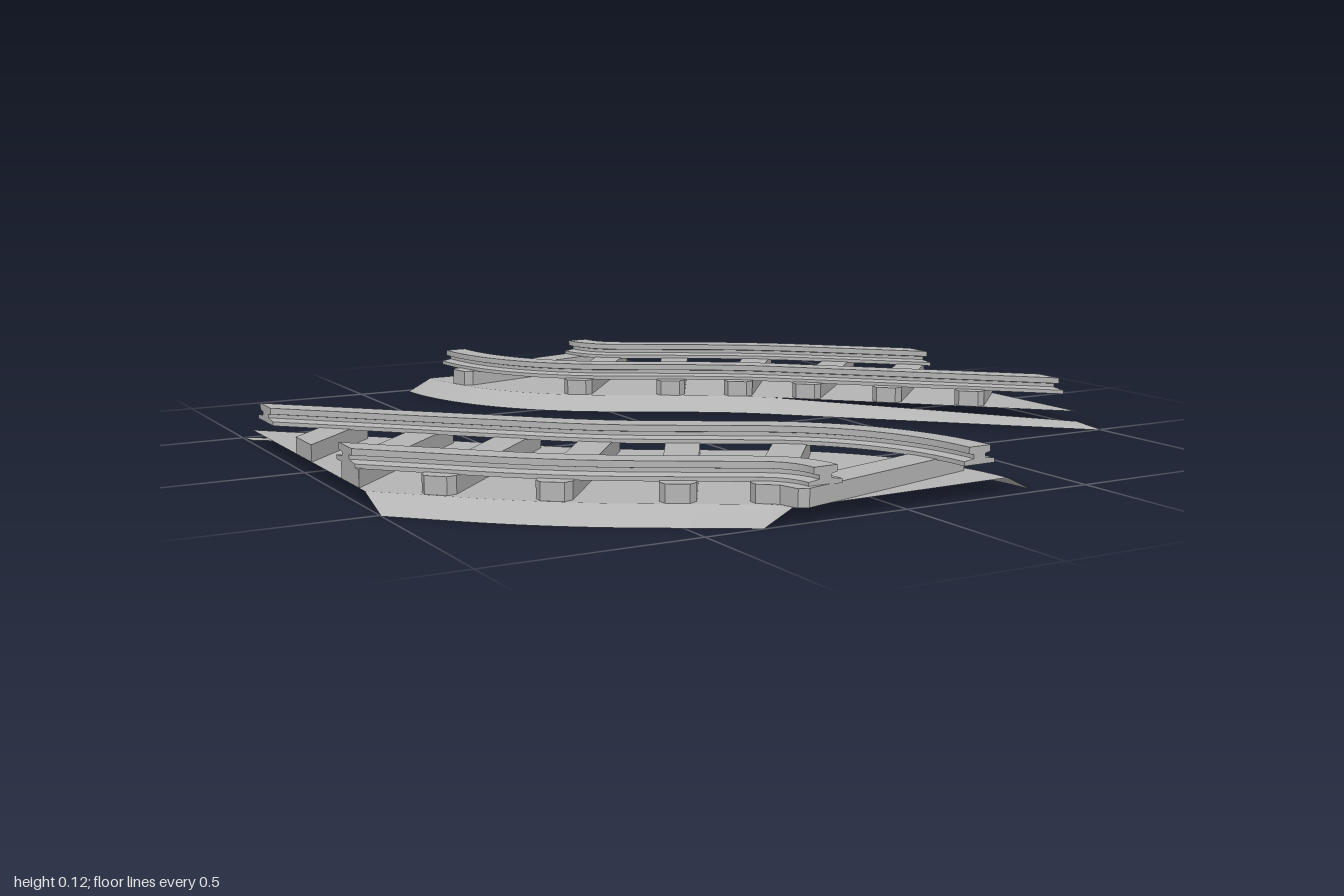
import * as THREE from 'three';
import { toCreasedNormals } from 'three/addons/utils/BufferGeometryUtils.js';

const DEG = Math.PI / 180;
const BED_Y = 0.035, TIE_Y = 0.076;
const grey = new THREE.MeshStandardMaterial({ color: 0xb4b4b4, side: THREE.DoubleSide });
grey.name = 'trackGrey';

// Centre line: straight, gentle bend one way, straight, tight bend the other way.
const segments = [
  { length: 0.54, turn: 0, steps: 1 },
  { length: 0.293, turn: -14 * DEG, steps: 8 },
  { length: 0.2485, turn: 0, steps: 1 },
  { length: 0.361, turn: 57.4 * DEG, steps: 18 },
];

// Position, heading and outward side vector at distance s along the centre line.
function stationAt(s) {
  let x = -1, z = 0, a = 45 * DEG;
  for (const seg of segments) {
    const l = Math.min(s, seg.length);
    if (seg.turn) {
      const r = seg.length / seg.turn, b = a + l / r;
      x += r * (Math.sin(b) - Math.sin(a));
      z += r * (Math.cos(a) - Math.cos(b));
      a = b;
    } else {
      x += l * Math.cos(a);
      z += l * Math.sin(a);
    }
    s -= l;
    if (s <= 1e-9) break;
  }
  return { x, z, tx: Math.cos(a), tz: Math.sin(a), nx: Math.sin(a), nz: -Math.cos(a) };
}

// The first station is mitred so that the track ends flush with the tile edge.
const stations = [{ ...stationAt(0), nx: 0, nz: -Math.SQRT2, isStart: true }];
let travelled = 0;
for (const seg of segments) {
  for (let i = 1; i <= seg.steps; i++) stations.push(stationAt(travelled + seg.length * i / seg.steps));
  travelled += seg.length;
}

// Sweep a cross-section of [side offset, height] points along the stations.
function sweep(profileAt, closed) {
  const pos = [], index = [], n = profileAt(stations[0]).length;
  for (const st of stations) {
    for (const [d, y] of profileAt(st)) pos.push(st.x + st.nx * d, y, st.z + st.nz * d);
  }
  for (let i = 0; i < stations.length - 1; i++) {
    for (let j = 0; j < (closed ? n : n - 1); j++) {
      const k = (j + 1) % n, a = i * n, b = a + n;
      index.push(a + j, a + k, b + k, a + j, b + k, b + j);
    }
  }
  if (closed) {
    const outline = profileAt(stations[0]).map(([d, y]) => new THREE.Vector2(d, y));
    const last = (stations.length - 1) * n;
    for (const [a, b, c] of THREE.ShapeUtils.triangulateShape(outline, [])) {
      index.push(c, b, a, last + a, last + b, last + c);
    }
  }
  const g = new THREE.BufferGeometry();
  g.setAttribute('position', new THREE.Float32BufferAttribute(pos, 3));
  g.setIndex(index);
  return toCreasedNormals(g, 25 * DEG);
}

// Keep the part of a plan polygon that lies inside the tile edge x = -1.
function clipToTile(points) {
  const out = [];
  points.forEach((p, i) => {
    const q = points[(i + 1) % points.length];
    if (p.x >= -1) out.push(p);
    if ((p.x >= -1) !== (q.x >= -1)) out.push(p.clone().lerp(q, (-1 - p.x) / (q.x - p.x)));
  });
  return out;
}

// A sleeper with chamfered ends, laid square to the centre line.
const tiePlan = [[-0.285, -0.026], [-0.265, -0.04], [0.265, -0.04], [0.285, -0.026],
  [0.285, 0.026], [0.265, 0.04], [-0.265, 0.04], [-0.285, 0.026]];
function tieGeometry(s) {
  const st = stationAt(s);
  const plan = tiePlan.map(([d, t]) =>
    new THREE.Vector2(st.x + st.nx * d + st.tx * t, -(st.z + st.nz * d + st.tz * t)));
  const g = new THREE.ExtrudeGeometry(new THREE.Shape(clipToTile(plan)),
    { depth: TIE_Y - BED_Y, bevelEnabled: false });
  return g.rotateX(-Math.PI / 2).translate(0, BED_Y, 0);
}

// Rail section: wide foot, thin web, flat head.
const railHalf = [[0.043, 0.074], [0.043, 0.084], [0.016, 0.088], [0.016, 0.097], [0.03, 0.1], [0.03, 0.115]];
const railProfile = [...railHalf, ...railHalf.map(([d, y]) => [-d, y]).reverse()];

function createTrack() {
  const track = new THREE.Group();
  const add = (name, geometry) => {
    const mesh = new THREE.Mesh(geometry, grey);
    mesh.name = name;
    track.add(mesh);
  };

  // Ballast bed: flat top with sloping shoulders, open underneath
  add('bedTop', sweep(() => [[0.29, BED_Y], [-0.29, BED_Y]], false));
  add('outerShoulder', sweep(st => [[0.36, 0], [0.29, st.isStart ? 0.008 : BED_Y]], false));
  add('innerShoulder', sweep(() => [[-0.29, BED_Y], [-0.36, 0]], false));

  // Rails
  for (const [name, offset] of [['outerRail', 0.207], ['innerRail', -0.207]]) {
    add(name, sweep(() => railProfile.map(([d, y]) => [d + offset, y]), true));
  }

  // Sleepers
  for (let i = 0; i < 7; i++) add('sleeper', tieGeometry(i * 0.226));
  return track;
}

export function createModel() {
  const model = new THREE.Group();
  model.name = 'curvedTracks';
  const frontTrack = createTrack();
  frontTrack.name = 'frontTrack';
  const backTrack = createTrack();
  backTrack.name = 'backTrack';
  backTrack.rotation.y = Math.PI;
  model.add(frontTrack, backTrack);
  return model;
}
